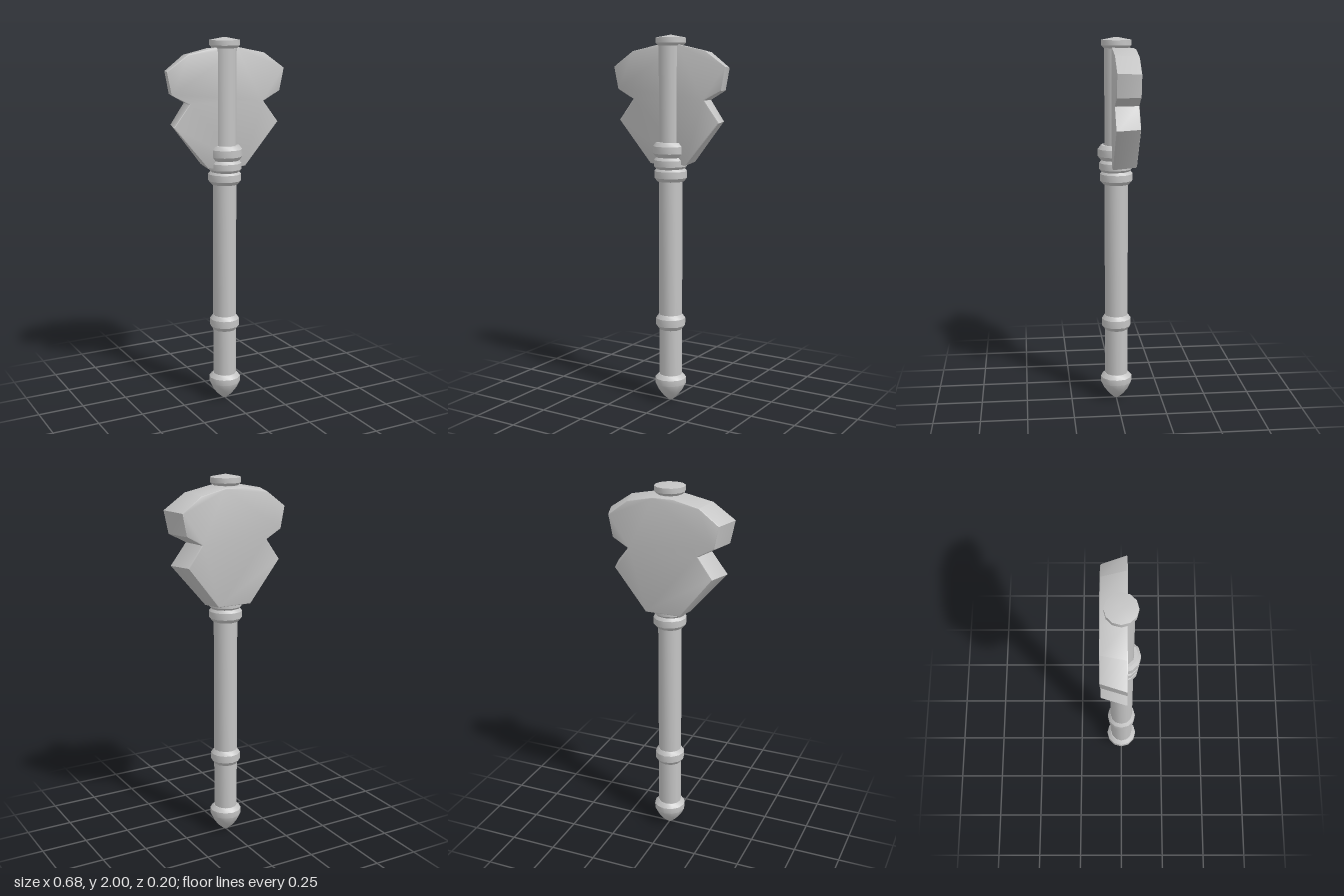
import * as THREE from 'three';
import { toCreasedNormals } from 'three/addons/utils/BufferGeometryUtils.js';

export function createModel() {
  const model = new THREE.Group();
  model.name = 'ceremonialAxe';
  const metal = new THREE.MeshStandardMaterial({ color: 0xc4c4c4 });
  metal.name = 'plain grey';

  const add = (name, geometry, z = 0) => {
    const mesh = new THREE.Mesh(geometry, metal);
    mesh.name = name;
    mesh.position.z = z;
    model.add(mesh);
    return mesh;
  };

  // Twelve-sided turned part; profile runs from bottom to top as [radius, y]
  const turned = (name, profile, z = 0) => {
    const points = profile.map(([r, y]) => new THREE.Vector2(r, y));
    return add(name, toCreasedNormals(new THREE.LatheGeometry(points, 12), 0.6), z);
  };

  // Collar with chamfered upper and lower rims
  const ring = (name, low, high, radius, z = 0) => {
    const c = (high - low) * 0.26;
    turned(name, [[0.058, low], [radius - 0.016, low], [radius, low + c],
      [radius, high - c], [radius - 0.016, high], [0.058, high]], z);
  };

  // Shaft, pommel and cap
  turned('shaft', [[0.063, 0.12], [0.063, 1.965]]);
  turned('pommel', [[0, 0.005], [0.012, 0.008], [0.043, 0.036], [0.068, 0.068],
    [0.086, 0.105], [0.086, 0.137], [0.066, 0.158], [0.058, 0.158]]);
  turned('topCap', [[0.05, 1.943], [0.066, 1.945], [0.08, 1.959],
    [0.08, 1.986], [0.007, 2], [0, 2]]);

  // Collars; the two that clasp the blade sit slightly forward
  ring('gripCollar', 0.415, 0.498, 0.08);
  ring('lowerCollar', 1.23, 1.305, 0.088);
  ring('middleCollar', 1.293, 1.363, 0.088, 0.004);
  ring('upperCollar', 1.36, 1.44, 0.09, 0.009);

  // Blade: mirrored outline, lightly bevelled, narrowing toward the back
  const half = [[0.11, 1.322], [0.308, 1.55], [0.219, 1.664], [0.317, 1.715],
    [0.343, 1.836], [0.222, 1.918], [0.063, 1.95]];
  const outline = [...half, ...half.slice().reverse().map(([x, y]) => [-x, y])];
  const bevel = 0.006;
  const shape = new THREE.Shape(outline.map(([x, y]) => new THREE.Vector2(x, y)));
  const blade = new THREE.ExtrudeGeometry(shape, {
    depth: 0.13 - 2 * bevel, bevelEnabled: true, bevelThickness: bevel,
    bevelSize: bevel, bevelOffset: -bevel, bevelSegments: 2,
  });
  blade.translate(0, 0, -0.1 + bevel);
  const pos = blade.attributes.position;
  for (let i = 0; i < pos.count; i++) {
    const back = (0.03 - pos.getZ(i)) / 0.13;
    pos.setX(i, pos.getX(i) * (1 - 0.13 * back));
    pos.setY(i, 1.63 + (pos.getY(i) - 1.63) * (1 - 0.03 * back));
  }
  add('blade', toCreasedNormals(blade, 0.5));

  return model;
}
